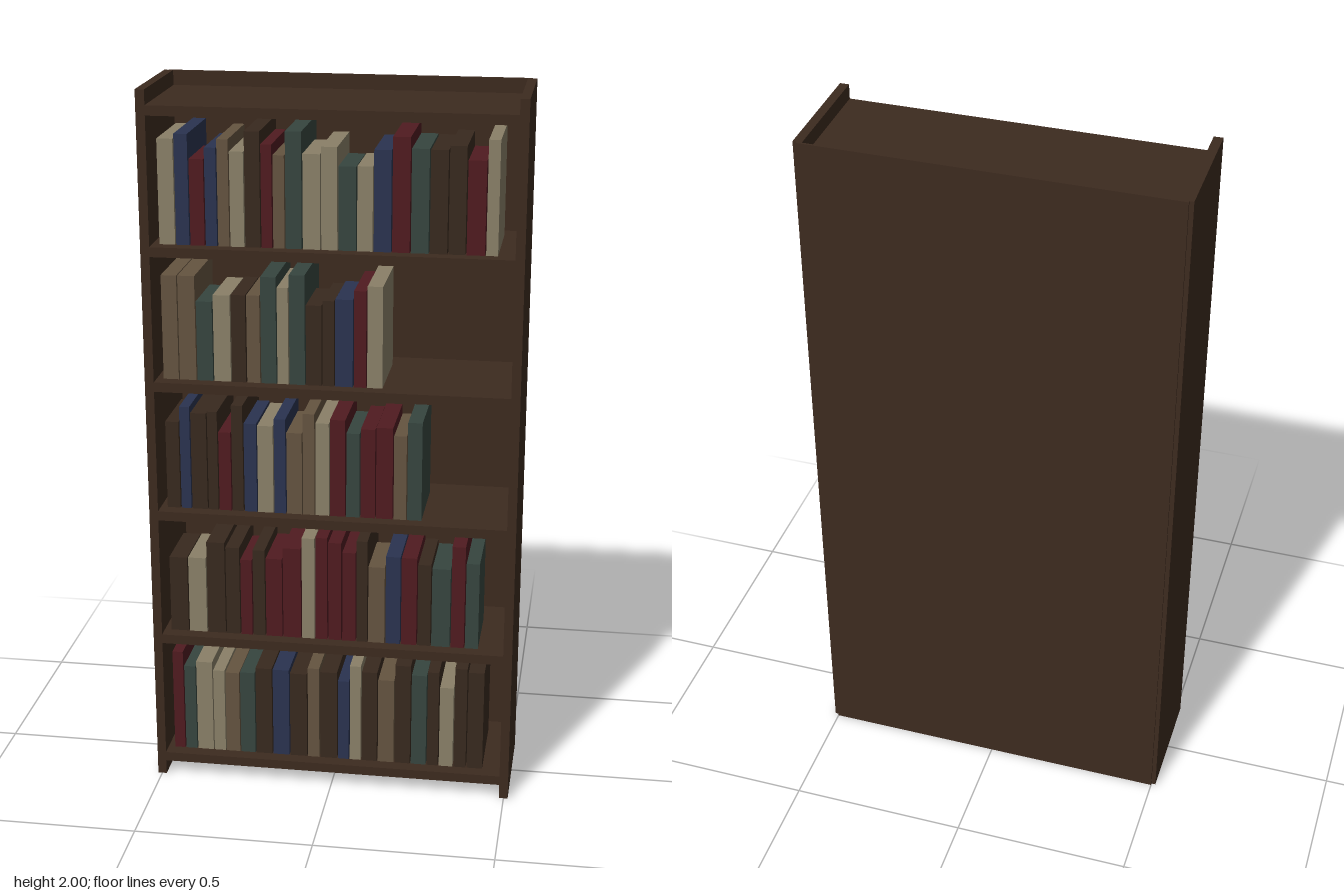
import * as THREE from 'three';

const mat = (name, color) => {
  const m = new THREE.MeshStandardMaterial({ color });
  m.name = name;
  return m;
};

// Small seeded generator, 0 to 1
const seeded = (seed) => () => {
  seed = (seed * 16807) % 2147483647;
  return seed / 2147483647;
};

export function createModel() {
  const group = new THREE.Group();
  group.name = 'bookcase';
  const wood = mat('dark wood', 0x3d2b1f);
  const covers = {
    c: mat('cream cover', 0x8a8068),
    b: mat('blue cover', 0x2a3350),
    r: mat('red cover', 0x501b20),
    g: mat('teal cover', 0x36453f),
    t: mat('tan cover', 0x655440),
    n: mat('brown cover', 0x38291e),
  };

  // Box given by its lower and upper corners
  const box = (parent, name, material, x0, x1, y0, y1, z0, z1) => {
    const mesh = new THREE.Mesh(new THREE.BoxGeometry(x1 - x0, y1 - y0, z1 - z0), material);
    mesh.position.set((x0 + x1) / 2, (y0 + y1) / 2, (z0 + z1) / 2);
    mesh.name = name;
    parent.add(mesh);
  };

  // Case: two sides, back panel and six shelf boards
  const inner = 0.487, outer = 0.512, back = -0.164, front = 0.168;
  box(group, 'rightSide', wood, -outer, -inner, 0, 2, back, front);
  box(group, 'leftSide', wood, inner, outer, 0, 2, back, front);
  box(group, 'backPanel', wood, -0.5, 0.5, 0, 2, back - 0.006, back);
  const shelfTop = (i) => 0.069 + 0.378 * i;
  for (let i = 0; i < 6; i++) {
    box(group, 'shelf', wood, -inner, inner, shelfTop(i) - 0.027, shelfTop(i), back, front);
  }

  // Books, bottom row first: one letter per cover, and where the row ends
  const rows = [
    { order: 'rgcctgnbntnbcntngncnn', end: 0.437 },
    { order: 'ncnnrnrrcrrrntbrngrg', end: 0.416 },
    { order: 'nbnnrnbcbttcrgrrtg', end: 0.251 },
    { order: 'ttgcntgcgnnbrc', end: 0.14 },
    { order: 'cbrbtcnrtgccgcbrgnnrc', end: 0.442 },
  ];
  const start = -0.468, bookFront = 0.13, gap = 0.003;
  const random = seeded(4821);
  rows.forEach(({ order, end }, i) => {
    const row = new THREE.Group();
    row.name = 'bookRow';
    // Uneven thicknesses that together fill the row exactly
    const shares = [...order].map(() => 0.75 + 0.5 * random());
    const unit = (end - start) / shares.reduce((a, b) => a + b);
    let x = start;
    [...order].forEach((cover, j) => {
      const width = shares[j] * unit;
      const height = 0.222 + 0.092 * random();
      const depth = 0.8 * height; // taller books are also deeper
      const y = shelfTop(i);
      box(row, 'book', covers[cover], x, x + width - gap, y, y + height, bookFront - depth, bookFront);
      x += width;
    });
    group.add(row);
  });

  return group;
}
